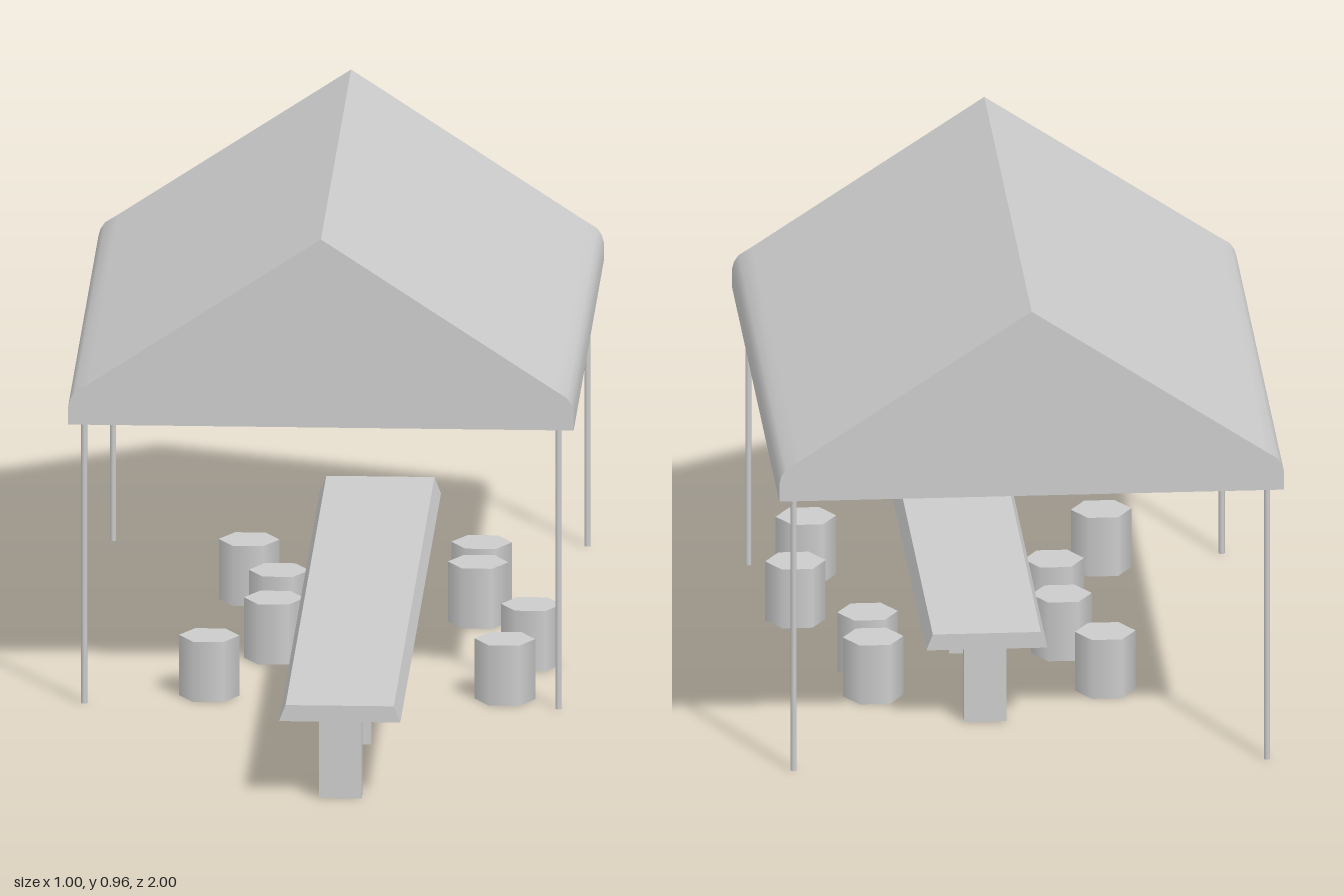
import * as THREE from 'three';
import { toCreasedNormals } from 'three/addons/utils/BufferGeometryUtils.js';

const material = new THREE.MeshStandardMaterial({ color: 0xcccccc });
const thin = new THREE.MeshStandardMaterial({ color: 0xcccccc, side: THREE.DoubleSide });

function addMesh(parent, name, geometry, mat, x = 0, y = 0, z = 0) {
  const mesh = new THREE.Mesh(geometry, mat);
  mesh.name = name;
  mesh.position.set(x, y, z);
  parent.add(mesh);
  return mesh;
}

function namedGroup(parent, name) {
  const group = new THREE.Group();
  group.name = name;
  parent.add(group);
  return group;
}

// Thin sheet swept along z from a cross-section listed from +x to -x
function sweptSheet(profile, front, back) {
  const positions = [];
  const index = [];
  profile.forEach(([x, y], i) => {
    positions.push(x, y, front, x, y, back);
    if (i < profile.length - 1) {
      const a = i * 2;
      index.push(a, a + 1, a + 2, a + 2, a + 1, a + 3);
    }
  });
  const geometry = new THREE.BufferGeometry();
  geometry.setAttribute('position', new THREE.Float32BufferAttribute(positions, 3));
  geometry.setIndex(index);
  return toCreasedNormals(geometry, 0.8);
}

function buildCanopy(parent) {
  const canopy = namedGroup(parent, 'canopy');
  const front = 0.29, back = -1;
  const half = [[0.5, 0.575], [0.5, 0.612], [0.496, 0.627], [0.487, 0.641], [0.46, 0.658]];
  const mirrored = half.map(([x, y]) => [-x, y]).reverse();
  const profile = [...half, [0, 0.96], ...mirrored];

  // Roof slopes with rounded eaves, open underneath
  addMesh(canopy, 'roof', sweptSheet(profile, front, back), thin);

  // Triangular end panels
  const gable = new THREE.ShapeGeometry(new THREE.Shape(profile.map(([x, y]) => new THREE.Vector2(x, y))));
  addMesh(canopy, 'frontGable', gable, thin, 0, 0, front);
  addMesh(canopy, 'backGable', gable, thin, 0, 0, back).rotation.y = Math.PI;

  // Four slim corner posts
  const post = new THREE.CylinderGeometry(0.006, 0.006, 0.58, 8);
  for (const x of [-0.469, 0.469]) {
    for (const z of [0.27, -0.965]) addMesh(canopy, 'post', post, material, x, 0.29, z);
  }
}

function buildTable(parent) {
  const table = namedGroup(parent, 'table');
  table.position.x = 0.07;

  // Long top with sloping side edges
  const section = new THREE.Shape([[-0.12, 0.165], [0.12, 0.165], [0.107, 0.198], [-0.107, 0.198]]
    .map(([x, y]) => new THREE.Vector2(x, y)));
  const top = new THREE.ExtrudeGeometry(section, { depth: 1.74, bevelEnabled: false });
  addMesh(table, 'tableTop', top, material, 0, 0, -0.74);

  // Row of panel legs
  const leg = new THREE.BoxGeometry(0.084, 0.165, 0.027);
  for (let i = 0; i < 5; i++) addMesh(table, 'tableLeg', leg, material, 0, 0.0825, 0.955 - i * 0.411);
}

function buildStools(parent) {
  const places = [
    [0.36, 0.2], [0.4, -0.065], [0.28, -0.38], [0.28, -0.53],
    [-0.225, 0.2], [-0.11, -0.09], [-0.11, -0.3], [-0.18, -0.53],
  ];
  const radius = 0.06, height = 0.123;
  // Six-sided body, open underneath, corners pointing along x
  const side = new THREE.CylinderGeometry(radius, radius, height, 6, 1, true).rotateY(Math.PI / 6);
  const seat = new THREE.CircleGeometry(radius, 6).rotateX(-Math.PI / 2);
  for (const [x, z] of places) {
    const stool = namedGroup(parent, 'stool');
    stool.position.set(x, 0, z);
    addMesh(stool, 'stoolBody', side, thin, 0, height / 2, 0);
    addMesh(stool, 'stoolSeat', seat, thin, 0, height, 0);
  }
}

export function createModel() {
  const model = new THREE.Group();
  model.name = 'pavilion';
  buildCanopy(model);
  buildTable(model);
  buildStools(model);
  return model;
}
